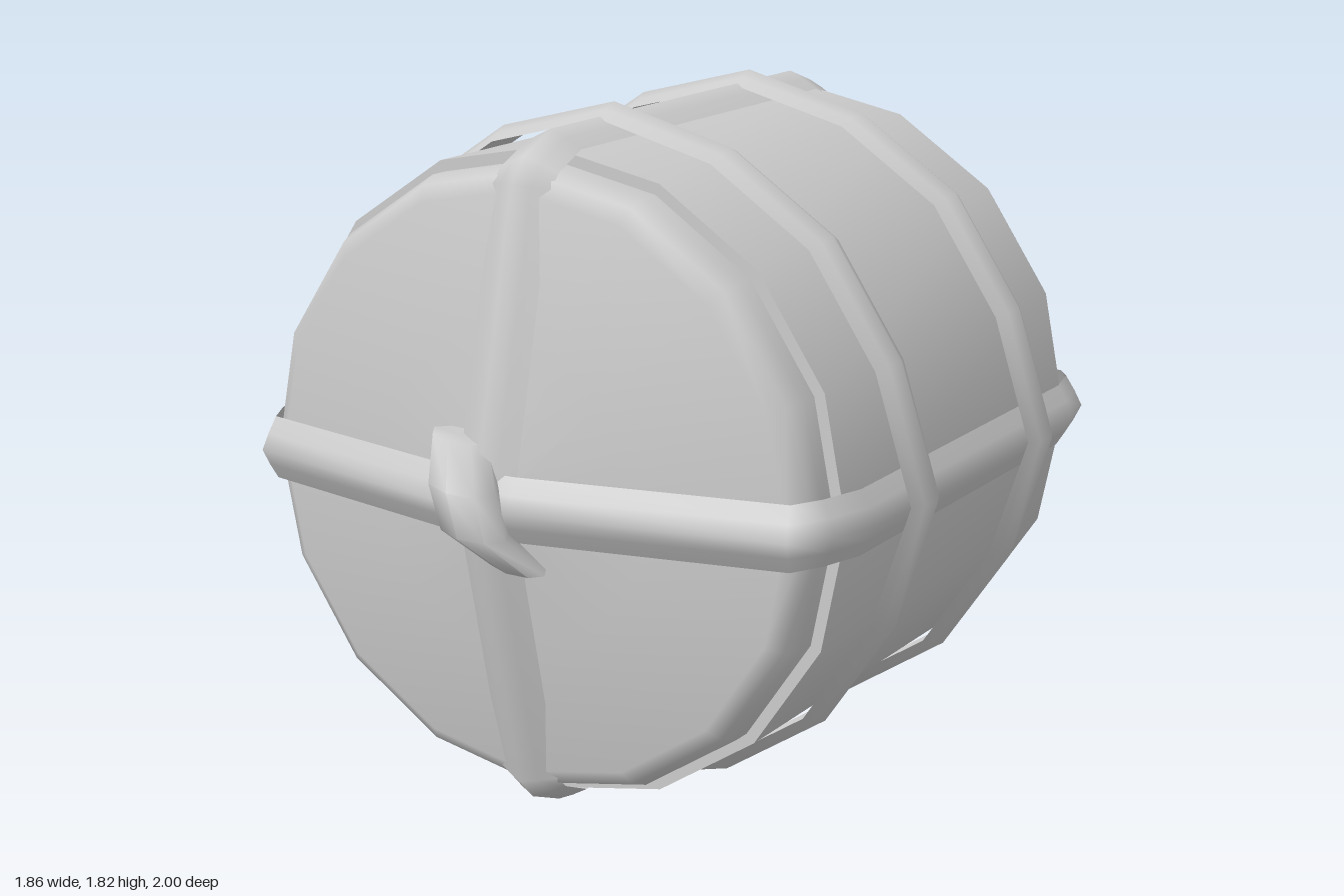
import * as THREE from 'three';
import { toCreasedNormals, mergeVertices } from 'three/addons/utils/BufferGeometryUtils.js';

const CY = 0.91; // height of the barrel axis
const SIDES = 16;
const mat = new THREE.MeshStandardMaterial({ color: 0xcccccc, side: THREE.DoubleSide });

function add(group, name, geometry) {
  const mesh = new THREE.Mesh(geometry, mat);
  mesh.name = name;
  group.add(mesh);
}

// Revolve [radius, z] pairs about the z axis, one corner on each axis
function turned(profile, crease) {
  const geo = new THREE.LatheGeometry(profile.map(([r, z]) => new THREE.Vector2(r, z)), SIDES);
  geo.rotateX(Math.PI / 2).translate(0, CY, 0);
  return crease ? toCreasedNormals(geo, crease) : geo;
}

// Join equal-sized rows of points into a smooth surface
function skin(rows, closeRows, closeCols) {
  const n = rows.length, m = rows[0].length, index = [];
  for (let i = 0; i < (closeRows ? n : n - 1); i++) {
    for (let j = 0; j < (closeCols ? m : m - 1); j++) {
      const a = i * m + j, b = i * m + (j + 1) % m;
      const c = ((i + 1) % n) * m + j, d = ((i + 1) % n) * m + (j + 1) % m;
      index.push(a, c, b, b, c, d);
    }
  }
  const geo = new THREE.BufferGeometry();
  geo.setAttribute('position', new THREE.Float32BufferAttribute(rows.flat(2), 3));
  geo.setIndex(index);
  geo.computeVertexNormals();
  return geo;
}

// Ridged band following a closed counter-clockwise path; place(u, v, w) gives x, y, z
function band(path, halfWidth, depth, place) {
  const section = [[halfWidth, depth], [halfWidth * 0.5, depth * 0.45], [0, 0],
    [-halfWidth * 0.5, depth * 0.45], [-halfWidth, depth]];
  const n = path.length;
  const rows = path.map(([u, v], i) => {
    const p = path[(i + n - 1) % n], q = path[(i + 1) % n];
    const len = Math.hypot(q[0] - p[0], q[1] - p[1]);
    const nu = (q[1] - p[1]) / len, nv = -(q[0] - p[0]) / len;
    return section.map(([w, d]) => place(u - nu * d, v - nv * d, w));
  });
  return skin(rows, true, false);
}

// Complete a half path, given back to front on the positive side, by mirroring
const mirrored = (half) => [...half, ...half.slice().reverse().map(([u, v]) => [-u, v])];

export function createModel() {
  const model = new THREE.Group();
  model.name = 'strappedBarrel';

  // Sixteen-sided shell with stepped rims
  add(model, 'shell', turned([[0.79, -0.69], [0.84, -0.69], [0.84, 0.58], [0.79, 0.58]], 0.8));

  // Domed ends set inside the shell
  add(model, 'frontEnd', turned([[0.81, 0.56], [0.81, 0.63], [0.79, 0.68], [0.75, 0.71],
    [0.4, 0.77], [0, 0.81]]));
  add(model, 'backEnd', turned([[0, -0.945], [0.4, -0.9], [0.75, -0.82], [0.79, -0.79],
    [0.81, -0.74], [0.81, -0.67]]));

  // Hoops around the shell, lifted where they cross the straps
  const ring = Array.from({ length: SIDES }, (_, i) => {
    const a = (i / SIDES) * Math.PI * 2;
    const r = i % 4 ? 0.89 : i % 8 ? 0.91 : 0.93;
    return [r * Math.cos(a), r * Math.sin(a)];
  });
  for (const [name, z] of [['frontHoop', 0.275], ['backHoop', -0.41]]) {
    add(model, name, band(ring, 0.075, 0.035, (u, v, w) => [u, CY + v, z + w]));
  }

  // Straps running lengthwise and crossing at both ends
  const flatLoop = mirrored([[0.11, -1], [0.45, -0.94], [0.8, -0.84], [0.86, -0.77],
    [0.89, -0.64], [0.89, 0.52], [0.85, 0.66], [0.78, 0.765], [0.09, 0.91]]);
  const uprightLoop = mirrored([[0.08, -0.97], [0.43, -0.925], [0.77, -0.83], [0.84, -0.76],
    [0.88, -0.64], [0.88, 0.56], [0.83, 0.68], [0.77, 0.735], [0.09, 0.895]]);
  add(model, 'horizontalStrap', band(flatLoop, 0.083, 0.045, (u, v, w) => [u, CY + w, v]));
  add(model, 'verticalStrap', band(uprightLoop, 0.085, 0.045, (u, v, w) => [w, CY + u, v]));

  // Slanted knot over the front crossing: [x, y, z, half width, half depth]
  const stations = [[-0.08, 1.07, 0.85, 0.001, 0.001], [-0.08, 1.07, 0.85, 0.08, 0.055],
    [-0.02, 0.97, 0.925, 0.095, 0.075], [0.01, 0.86, 0.925, 0.09, 0.075],
    [0.085, 0.76, 0.85, 0.075, 0.055], [0.085, 0.76, 0.85, 0.001, 0.001]];
  const knotRows = stations.map(([x, y, z, rx, rz]) => Array.from({ length: 8 }, (_, i) => {
    const a = (i / 8) * Math.PI * 2;
    const tilt = -0.13 * rx * Math.cos(a); // ends slope slightly
    return [x + rx * Math.cos(a), y + tilt, z + rz * Math.sin(a)];
  }));
  add(model, 'knot', toCreasedNormals(mergeVertices(skin(knotRows, false, true)), 1.1));

  return model;
}
